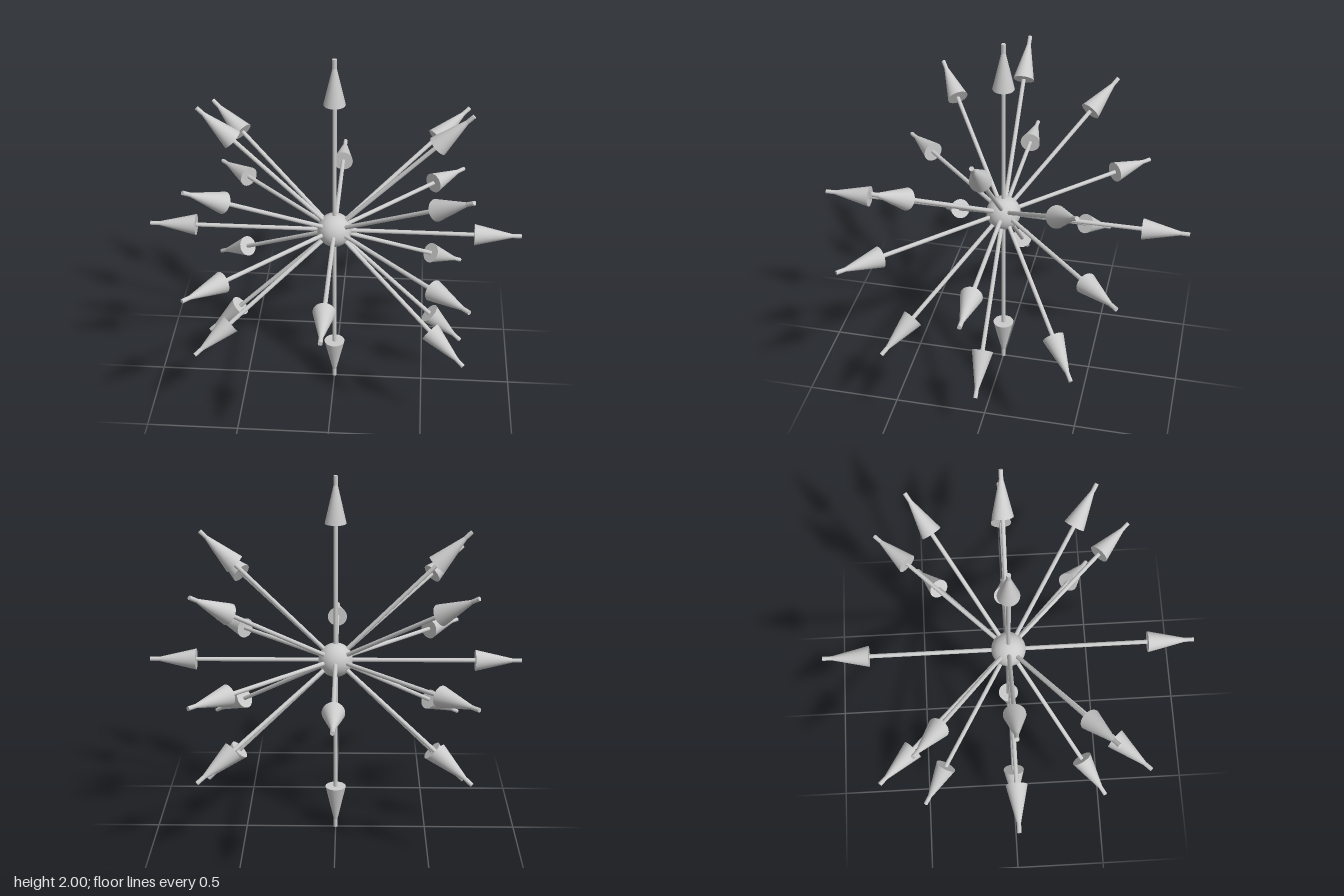
import * as THREE from 'three';

export function createModel() {
  const model = new THREE.Group();
  model.name = 'arrowBurst';
  const material = new THREE.MeshStandardMaterial({ color: 0xcccccc });

  // Central ball
  const ball = new THREE.Mesh(new THREE.SphereGeometry(0.093, 32, 20), material);
  ball.name = 'centreBall';
  ball.position.y = 1;
  model.add(ball);

  // Shared arrow parts, pointing along +y from the centre
  const shaftGeometry = new THREE.CylinderGeometry(0.0115, 0.0115, 1, 16).translate(0, 0.5, 0);
  const headGeometry = new THREE.ConeGeometry(0.057, 0.25, 32).translate(0, 0.875, 0);
  const up = new THREE.Vector3(0, 1, 0);

  function addArrow(x, y, z) {
    const arrow = new THREE.Group();
    arrow.name = 'arrow';
    const shaft = new THREE.Mesh(shaftGeometry, material);
    shaft.name = 'arrowShaft';
    const head = new THREE.Mesh(headGeometry, material);
    head.name = 'arrowHead';
    arrow.add(shaft, head);
    arrow.position.y = 1;
    arrow.quaternion.setFromUnitVectors(up, new THREE.Vector3(x, y, z).normalize());
    model.add(arrow);
  }

  // Arrows along the axes
  for (const s of [-1, 1]) {
    addArrow(s, 0, 0);
    addArrow(0, s, 0);
    addArrow(0, 0, s);
  }

  // Eight arrows at 45 degrees to x on each side, spaced 45 degrees around it
  for (const s of [-1, 1]) {
    for (let i = 0; i < 8; i++) {
      const a = (i * Math.PI) / 4;
      addArrow(s, Math.cos(a), Math.sin(a));
    }
  }

  return model;
}
